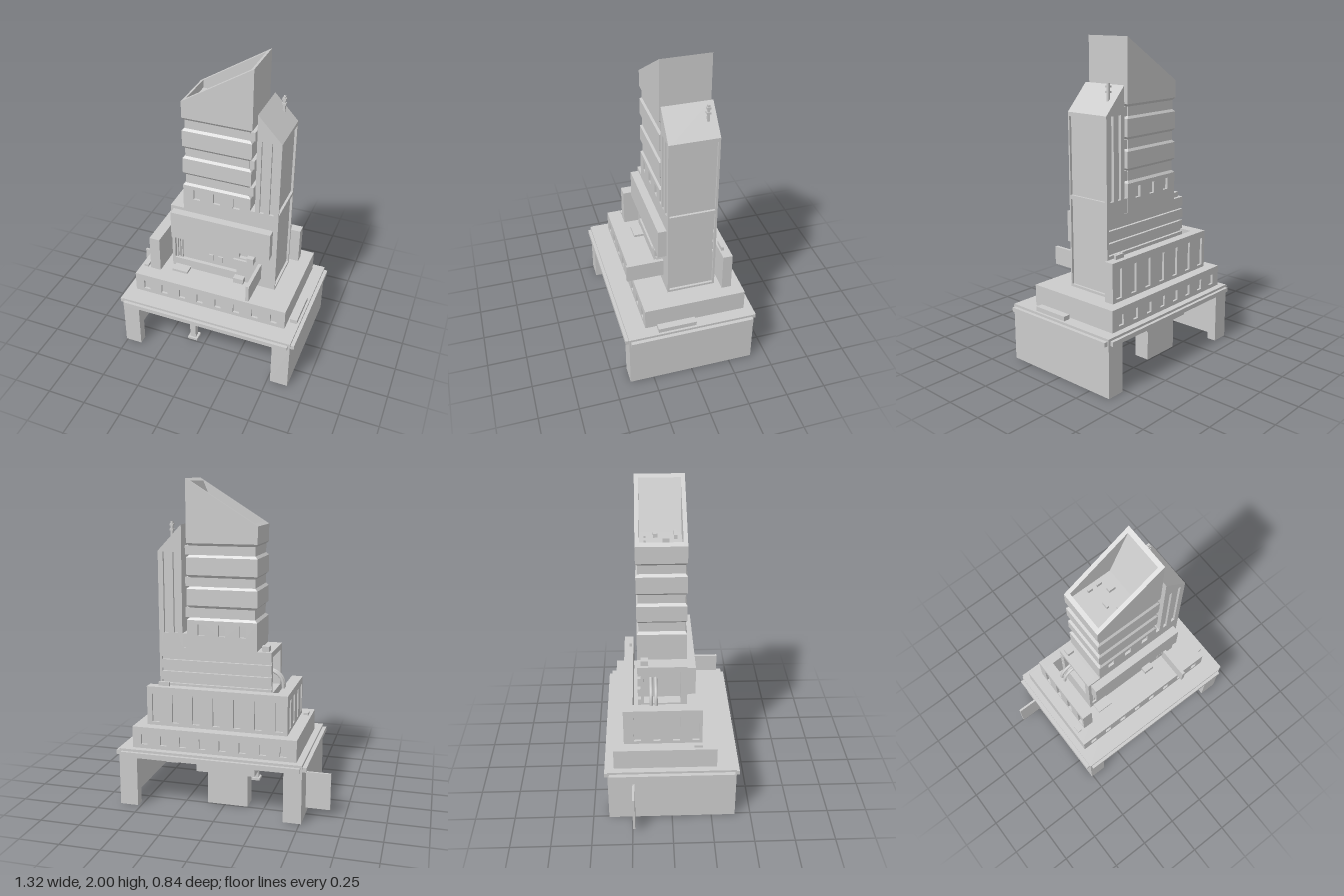
import * as THREE from 'three';

export function createModel() {
  const model = new THREE.Group();
  model.name = 'towerBuilding';
  const mat = new THREE.MeshStandardMaterial({ color: 0xcccccc });

  const add = (name, geo) => {
    const m = new THREE.Mesh(geo, mat);
    m.name = name;
    model.add(m);
    return m;
  };

  // Box given by its extents on each axis
  const box = (name, x0, x1, y0, y1, z0, z1) => {
    const m = add(name, new THREE.BoxGeometry(x1 - x0, y1 - y0, z1 - z0));
    m.position.set((x0 + x1) / 2, (y0 + y1) / 2, (z0 + z1) / 2);
    return m;
  };

  const rect = (a, b, c, d) => [[a, c], [b, c], [b, d], [a, d]];
  const toVecs = (pts) => pts.map(([x, y]) => new THREE.Vector2(x, y));

  // Plate in the x-y plane running from z0 to z1, with openings
  const plate = (name, outline, z0, z1, holes = []) => {
    const shape = new THREE.Shape(toVecs(outline));
    holes.forEach((h) => shape.holes.push(new THREE.Path(toVecs(h))));
    const geo = new THREE.ExtrudeGeometry(shape, { depth: z1 - z0, bevelEnabled: false });
    geo.translate(0, 0, z0);
    return add(name, geo);
  };

  // Plate in the z-y plane running from x0 to x1, with openings
  const sidePlate = (name, outline, x0, x1, holes = []) => {
    const m = plate(name, outline, 0, x1 - x0, holes);
    m.geometry.rotateY(-Math.PI / 2).translate(x1, 0, 0);
    return m;
  };

  // Row of equal window openings
  const row = (n, first, step, w, y0, y1) =>
    Array.from({ length: n }, (_, i) => {
      const c = first + i * step;
      return rect(c - w / 2, c + w / 2, y0, y1);
    });

  // Base deck with edge trim
  box('deck', -0.51, 0.635, 0.31, 0.365, -0.4, 0.4);
  box('deckTrimSides', -0.535, 0.658, 0.322, 0.35, -0.39, 0.39);
  box('deckTrimEnds', -0.5, 0.62, 0.322, 0.35, -0.42, 0.42);

  // Supporting walls: thin panel with a return at each end
  for (const [x0, x1, p0, p1] of [[-0.51, -0.4, -0.51, -0.48], [0.52, 0.635, 0.605, 0.635]]) {
    box('supportWall', p0, p1, 0, 0.31, -0.34, 0.34);
    box('supportWallFront', x0, x1, 0, 0.31, 0.34, 0.4);
    box('supportWallBack', x0, x1, 0, 0.31, -0.4, -0.34);
  }
  box('wallFin', -0.66, -0.51, 0.04, 0.27, -0.248, -0.234);

  // Column and hanging core under the deck
  box('column', -0.11, -0.07, 0, 0.31, 0.19, 0.23);
  box('columnFoot', -0.122, -0.055, 0, 0.016, 0.177, 0.243);
  box('corePlate', -0.2, 0.17, 0.22, 0.31, -0.29, -0.1);
  box('coreBlock', -0.145, 0.11, 0, 0.22, -0.245, -0.145);
  box('coreDoor', -0.04, 0.005, 0, 0.06, -0.146, -0.138);

  // First tier with a row of windows front and back
  box('lowerTier', -0.47, 0.56, 0.365, 0.5, -0.345, 0.265);
  const tierWindows = row(8, -0.39, 0.125, 0.042, 0.39, 0.455);
  plate('lowerTierFront', rect(-0.47, 0.56, 0.365, 0.5), 0.265, 0.28, tierWindows);
  plate('lowerTierBack', rect(-0.47, 0.56, 0.365, 0.5), -0.36, -0.345, tierWindows);
  box('deckBox', 0.575, 0.62, 0.365, 0.393, -0.03, 0.21);
  box('tierBox', -0.45, -0.42, 0.5, 0.515, 0.14, 0.19);

  // L-shaped parapet wall with tall slots
  box('parapetBackCore', -0.385, 0.485, 0.5, 0.745, -0.28, -0.235);
  box('parapetSideCore', -0.385, -0.33, 0.5, 0.745, -0.235, 0.19);
  plate('parapetBack', rect(-0.4, 0.485, 0.5, 0.745), -0.295, -0.28,
    row(7, -0.35, 0.13, 0.045, 0.52, 0.7));
  sidePlate('parapetSide', rect(-0.28, 0.19, 0.5, 0.745), -0.4, -0.385,
    row(4, -0.21, 0.12, 0.045, 0.52, 0.7));
  box('parapetBox', 0.35, 0.42, 0.745, 0.77, -0.262, -0.245);

  // Podium of the tower
  box('podiumCore', -0.21, 0.415, 0.5, 0.98, -0.185, 0.075);
  plate('podiumFront', rect(-0.28, 0.415, 0.5, 0.98), 0.075, 0.1,
    [rect(-0.26, 0.17, 0.565, 0.765), rect(0.185, 0.24, 0.69, 0.765)]);
  sidePlate('podiumSide', rect(-0.185, 0.075, 0.5, 0.98), -0.28, -0.21,
    [rect(-0.165, 0.06, 0.72, 0.945)]);
  for (const [y0, y1] of [[0.5, 0.75], [0.77, 0.825], [0.845, 0.9], [0.92, 0.98]]) {
    box('podiumBackBand', -0.28, 0.415, y0, y1, -0.203, -0.185);
  }
  sidePlate('eastFacade', rect(-0.203, 0.1, 0.5, 1.555), 0.415, 0.43,
    [rect(-0.19, 0.09, 0.515, 1.05), rect(-0.19, 0.09, 1.075, 1.545)]);

  // Podium front details
  box('signPanel', -0.26, 0.4, 0.77, 0.96, 0.1, 0.152);
  box('frontFin', 0.315, 0.336, 0.565, 0.68, 0.1, 0.335);
  box('frontLedge', 0.15, 0.27, 0.668, 0.68, 0.1, 0.115);
  box('frontUnit', 0.25, 0.295, 0.692, 0.737, 0.1, 0.145);
  box('lowUnit', 0.16, 0.228, 0.51, 0.547, 0.1, 0.14);
  box('step', -0.255, -0.15, 0.5, 0.516, 0.1, 0.165);
  box('frontVent', -0.03, 0.003, 0.595, 0.64, 0.075, 0.085);
  box('frontVent', 0.034, 0.067, 0.595, 0.64, 0.075, 0.085);
  for (let i = 0; i < 3; i++) {
    box('frontPipe', -0.255 + i * 0.016, -0.245 + i * 0.016, 0.565, 0.765, 0.075, 0.088);
  }
  box('podiumRoofBox', -0.26, -0.215, 0.98, 1.012, -0.182, -0.136);

  // Curved pipes entering the side opening
  for (const z of [-0.122, -0.092]) {
    const path = new THREE.CatmullRomCurve3([[-0.338, 0.5], [-0.338, 0.74], [-0.328, 0.8],
      [-0.29, 0.84], [-0.21, 0.86]].map(([x, y]) => new THREE.Vector3(x, y, z)));
    add('sidePipe', new THREE.TubeGeometry(path, 24, 0.01, 8));
  }

  // Tower base with three windows front and back
  box('towerBase', -0.19, 0.25, 0.98, 1.155, -0.185, 0.085);
  box('towerLink', 0.25, 0.28, 0.98, 1.07, -0.2, 0.1);
  const towerWindows = row(3, -0.1, 0.13, 0.045, 1.06, 1.13);
  plate('towerBaseFront', rect(-0.19, 0.25, 0.98, 1.155), 0.085, 0.1, towerWindows);
  plate('towerBaseBack', rect(-0.19, 0.25, 0.98, 1.155), -0.203, -0.185, towerWindows);

  // Banded shaft: square profile with chamfered grooves
  const profile = [[1, 1.155]];
  for (const [y0, y1] of [[1.17, 1.23], [1.36, 1.415], [1.55, 1.605]]) {
    profile.push([1, y0 - 0.015], [0.93, y0], [0.93, y1], [1, y1 + 0.015]);
    box('grooveBracket', 0.2, 0.263, y0, y1, -0.185, 0.085);
  }
  const shaft = new THREE.LatheGeometry(
    toVecs(profile.slice(1).map(([r, y]) => [r * Math.SQRT2, y])), 4)
    .rotateY(Math.PI / 4).scale(0.22, 1, 0.151).translate(0.03, 0, -0.051).toNonIndexed();
  shaft.computeVertexNormals();
  add('towerShaft', shaft);

  // Slanted open crown with a sunken roof
  const crown = [[-0.19, 1.62], [0.25, 1.62], [0.25, 2], [-0.19, 1.725]];
  plate('crownFront', crown, 0.075, 0.1);
  plate('crownBack', crown, -0.202, -0.177);
  plate('crownRoof', [[-0.19, 1.62], [0.25, 1.62], [0.25, 2], [0.225, 1.984], [0.105, 1.69],
    [-0.165, 1.69], [-0.165, 1.741], [-0.19, 1.725]], -0.177, 0.075);
  for (const [x0, x1, z0, z1] of [[-0.072, -0.04, -0.15, -0.138], [-0.012, 0.02, -0.15, -0.138],
    [0.02, 0.062, -0.096, -0.07], [-0.05, -0.034, -0.04, -0.002], [-0.005, 0.09, 0.028, 0.046]]) {
    box('roofUnit', x0, x1, 1.69, 1.715, z0, z1);
  }

  // Side tower with vertical slits
  plate('sideTower', [[0.28, 0.98], [0.415, 0.98], [0.415, 1.555], [0.43, 1.555], [0.43, 1.57],
    [0.28, 1.73]], -0.185, 0.085);
  const sideFace = [[0.28, 0.98], [0.415, 0.98], [0.415, 1.555], [0.43, 1.555], [0.43, 1.57],
    [0.28, 1.73]];
  const slits = [rect(0.308, 0.335, 1.07, 1.565), rect(0.37, 0.398, 1.07, 1.565)];
  plate('sideTowerFront', sideFace, 0.085, 0.1, slits);
  plate('sideTowerBack', sideFace, -0.203, -0.185, slits);

  // Antenna
  box('antennaMast', 0.348, 0.362, 1.62, 1.745, -0.157, -0.143);
  for (const y of [1.69, 1.72]) box('antennaRing', 0.343, 0.367, y, y + 0.012, -0.162, -0.138);

  return model;
}
